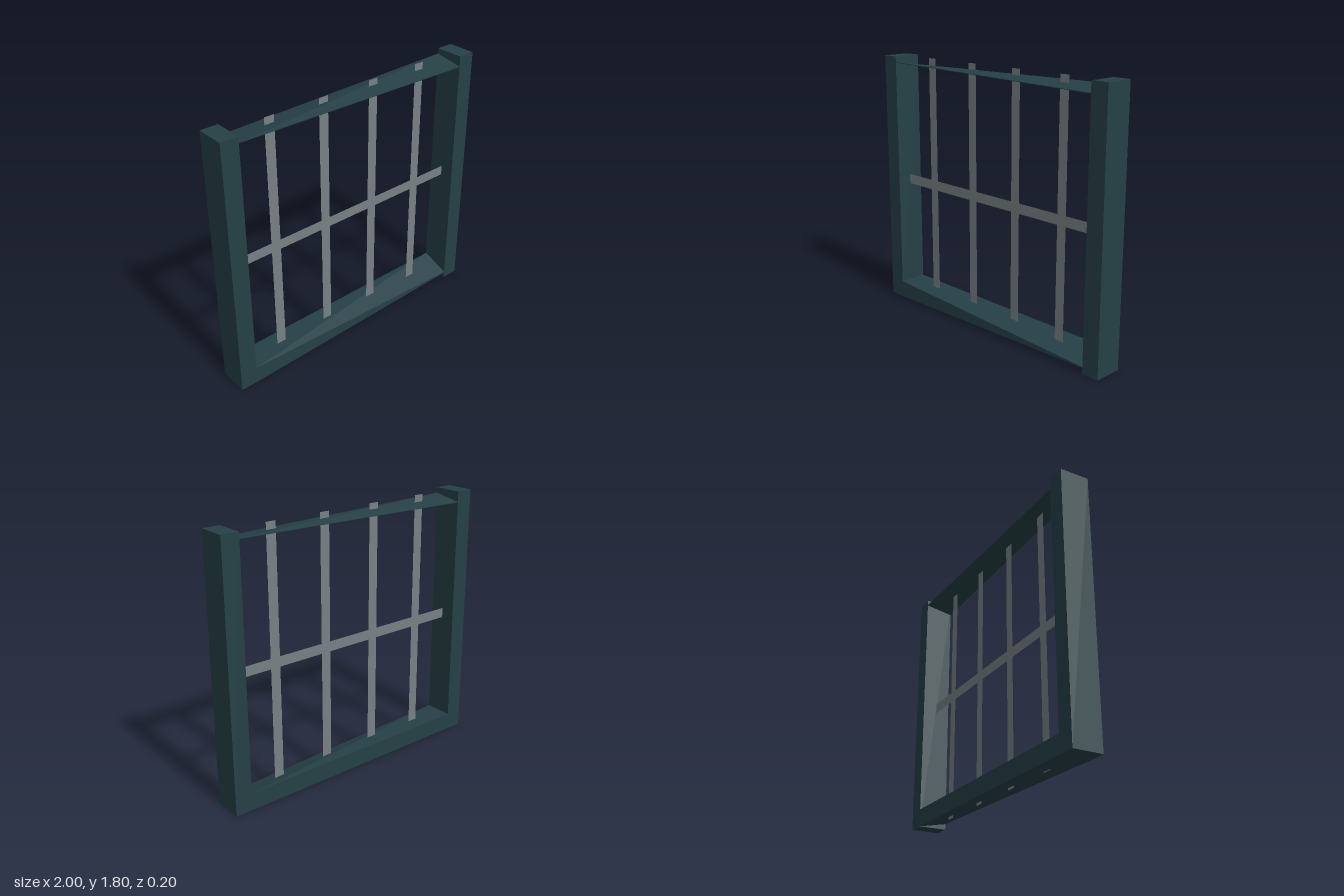
import * as THREE from 'three';

const frameMat = new THREE.MeshStandardMaterial({ color: 0x254046 });
frameMat.name = 'dark teal frame';
const barMat = new THREE.MeshStandardMaterial({ color: 0x788085, side: THREE.DoubleSide });
barMat.name = 'grey bars';

const INNER = 0.88, DEPTH = 0.1, HEIGHT = 1.8;

// Warped beam between the posts; heights run front left, front right, back right, back left as seen from the front
function warpedRail(name, bottom, top) {
  const xz = [[-INNER, DEPTH], [INNER, DEPTH], [INNER, -DEPTH], [-INNER, -DEPTH]];
  const low = xz.map(([x, z], i) => [x, bottom[i], z]);
  const high = xz.map(([x, z], i) => [x, top[i], z]);
  const pos = [];
  const tri = (...corners) => corners.forEach((p) => pos.push(...p));
  // top folds along front-left to back-right, underside along the other diagonal
  tri(high[0], high[1], high[2]);
  tri(high[0], high[2], high[3]);
  tri(low[0], low[3], low[1]);
  tri(low[1], low[3], low[2]);
  for (let i = 0; i < 4; i++) {
    const j = (i + 1) % 4;
    tri(low[i], low[j], high[j]);
    tri(low[i], high[j], high[i]);
  }
  const geo = new THREE.BufferGeometry();
  geo.setAttribute('position', new THREE.Float32BufferAttribute(pos, 3));
  geo.computeVertexNormals();
  const mesh = new THREE.Mesh(geo, frameMat);
  mesh.name = name;
  return mesh;
}

function flatBar(name, w, h, x, y, z) {
  const mesh = new THREE.Mesh(new THREE.PlaneGeometry(w, h), barMat);
  mesh.position.set(x, y, z);
  mesh.name = name;
  return mesh;
}

export function createModel() {
  const group = new THREE.Group();
  group.name = 'barredWindowFrame';

  // Side posts
  for (const side of [-1, 1]) {
    const post = new THREE.Mesh(new THREE.BoxGeometry(1 - INNER, HEIGHT, 2 * DEPTH), frameMat);
    post.position.set(side * (1 + INNER) / 2, HEIGHT / 2, 0);
    post.name = side > 0 ? 'leftPost' : 'rightPost';
    group.add(post);
  }

  // Sill and head
  group.add(warpedRail('bottomRail', [0, 0.04, 0, 0], [0.12, 0.047, 0.12, 0.12]));
  group.add(warpedRail('topRail', [1.758, 1.725, 1.758, 1.725], [1.762, 1.729, 1.762, 1.729]));

  // Flat bars
  for (let i = 0; i < 4; i++) {
    group.add(flatBar('verticalBar' + (i + 1), 0.07, HEIGHT, -0.602 + i * 0.4, HEIGHT / 2, 0));
  }
  group.add(flatBar('crossBar', 2 * INNER, 0.07, 0, 0.902, 0.001));

  return group;
}
